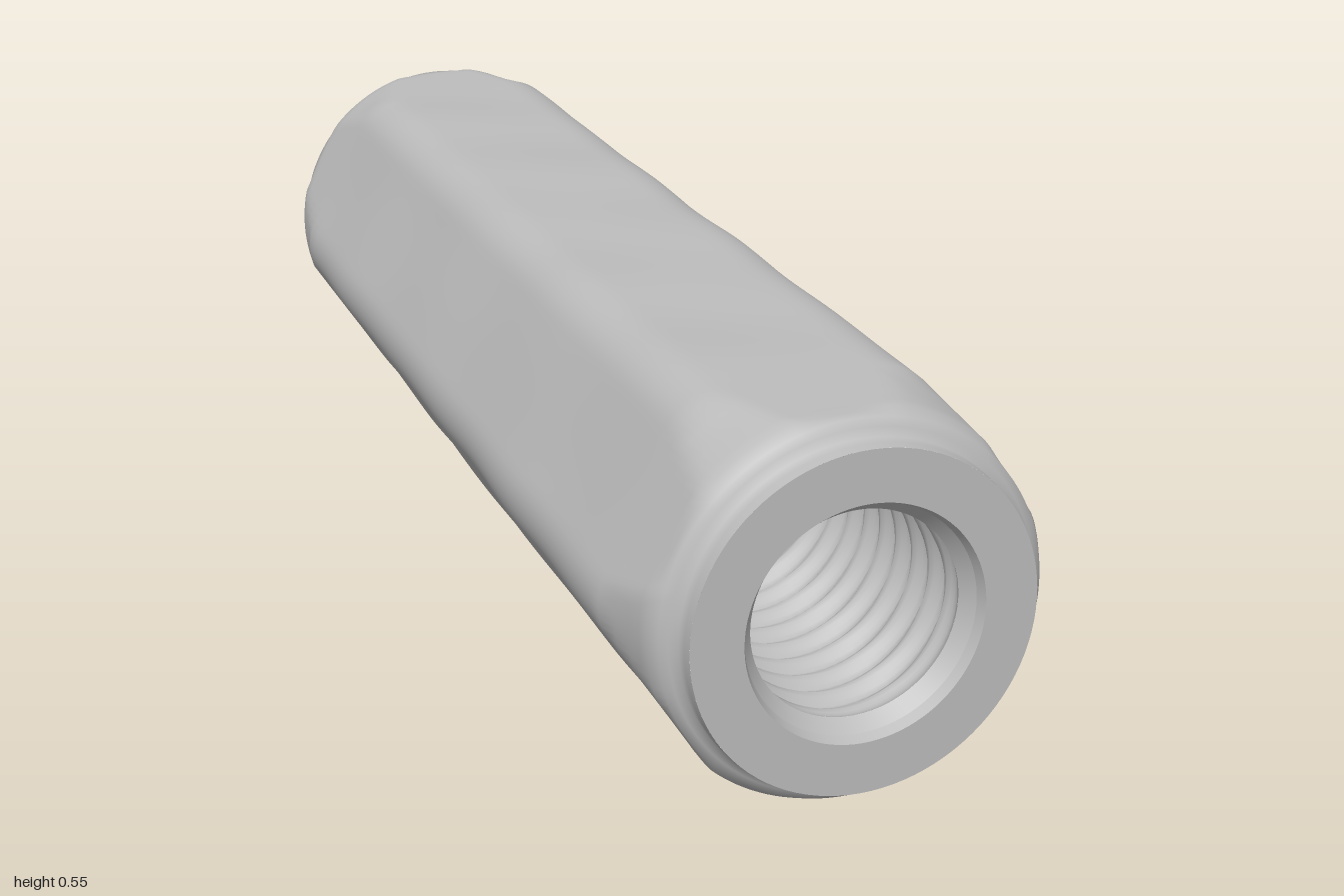
import * as THREE from 'three';

const CENTRE_Y = 0.276;
const TWIST = THREE.MathUtils.degToRad(3);

// Skin a list of z stations; radius(theta, i) gives each cross-section.
function loft(stations, radius, sides) {
  const pos = [], index = [];
  stations.forEach((z, i) => {
    for (let j = 0; j < sides; j++) {
      const t = (j / sides) * Math.PI * 2;
      const r = radius(t, i);
      pos.push(r * Math.cos(t), r * Math.sin(t), z);
    }
  });
  for (let i = 0; i < stations.length - 1; i++) {
    for (let j = 0; j < sides; j++) {
      const k = (j + 1) % sides;
      const a = i * sides + j, b = i * sides + k, c = a + sides, d = b + sides;
      index.push(a, b, c, b, d, c);
    }
  }
  const g = new THREE.BufferGeometry();
  g.setAttribute('position', new THREE.Float32BufferAttribute(pos, 3));
  g.setIndex(index);
  g.computeVertexNormals();
  return g;
}

// One round band between two [radius, z] points
const band = (p, q) => loft([p[1], q[1]], (t, i) => (i ? q[0] : p[0]), 96);

// Radius of a hexagon with rounded corners
function hexRadius(theta, apothem = 0.267, fillet = 0.09) {
  const sector = Math.PI / 3;
  let phi = (theta - TWIST) / sector;
  phi = (phi - Math.round(phi)) * sector;
  const d = (apothem - fillet) / Math.cos(sector / 2);
  const flat = apothem / Math.cos(sector / 2 - Math.abs(phi));
  const s = d * Math.sin(phi);
  const round = d * Math.cos(phi) + Math.sqrt(Math.max(0, fillet * fillet - s * s));
  const tangent = Math.atan2(fillet * 0.5, d + fillet * Math.cos(sector / 2));
  return Math.abs(phi) < tangent ? round : flat;
}

// Round turning limit by distance from the nearest end
const TURNING = [[0, 0.24], [0.03, 0.243], [0.042, 0.266], [0.06, 0.275], [0.15, 0.286], [0.22, 0.31]];
function turnedRadius(e) {
  for (let i = 1; i < TURNING.length; i++) {
    const [e0, r0] = TURNING[i - 1], [e1, r1] = TURNING[i];
    if (e <= e1) return r0 + ((r1 - r0) * (e - e0)) / (e1 - e0);
  }
  return 1;
}

export function createModel() {
  const metal = new THREE.MeshStandardMaterial({ color: 0xbcbcbc });
  metal.name = 'grey metal';
  const model = new THREE.Group();
  model.name = 'hexStandoff';
  const add = (name, geometry) => {
    const mesh = new THREE.Mesh(geometry, metal);
    mesh.name = name;
    mesh.position.y = CENTRE_Y;
    model.add(mesh);
  };

  // Hexagonal body with turned ends and slightly uneven faces
  const ends = [0, 0.015, 0.03, 0.036, 0.042, 0.06, 0.08, 0.11, 0.15, 0.185, 0.22];
  const stations = ends.map((e) => e - 1);
  for (let i = 1; i < 48; i++) stations.push(-0.78 + (1.56 * i) / 48);
  stations.push(...ends.map((e) => 1 - e).reverse());
  add('hexBody', loft(stations, (t, i) => {
    const z = stations[i], e = 1 - Math.abs(z);
    const fade = Math.min(1, e / 0.3);
    const wave = Math.sin(9 * z + 2 * t) * Math.sin(5 * z - 3 * t + 1) + 0.5 * Math.sin(19 * z + 4 * t);
    return Math.min(hexRadius(t) + 0.0022 * fade * wave, turnedRadius(e));
  }, 144));

  // Front rim and countersunk mouth
  add('frontRim', band([0.24, 1], [0.167, 1]));
  add('frontMouthWall', band([0.167, 1], [0.161, 0.985]));
  add('frontMouthChamfer', band([0.161, 0.985], [0.145, 0.965]));

  // Helical thread inside the blind bore
  const pitch = 0.05, depth = 0.95, top = 0.965, rows = 152;
  const threadZ = Array.from({ length: rows + 1 }, (_, i) => top - (depth * i) / rows);
  add('threadedBore', loft(threadZ, (t, i) => {
    const z = threadZ[i];
    const u = z / pitch + t / (Math.PI * 2);
    const tooth = Math.abs(2 * (u - Math.floor(u)) - 1);
    const fade = Math.min(1, (top - z) / 0.03, (z - top + depth) / 0.03);
    return 0.145 + 0.017 * Math.max(0, fade) * tooth;
  }, 64));
  const floor = new THREE.CircleGeometry(0.145, 64);
  floor.translate(0, 0, top - depth);
  add('boreFloor', floor);

  // Back rim with a shallow plugged recess
  add('backRim', band([0.17, -1], [0.24, -1]));
  add('backRecessWall', band([0.161, -0.975], [0.17, -1]));
  const plug = new THREE.CircleGeometry(0.161, 96);
  plug.rotateY(Math.PI);
  plug.translate(0, 0, -0.975);
  add('backPlug', plug);

  return model;
}
